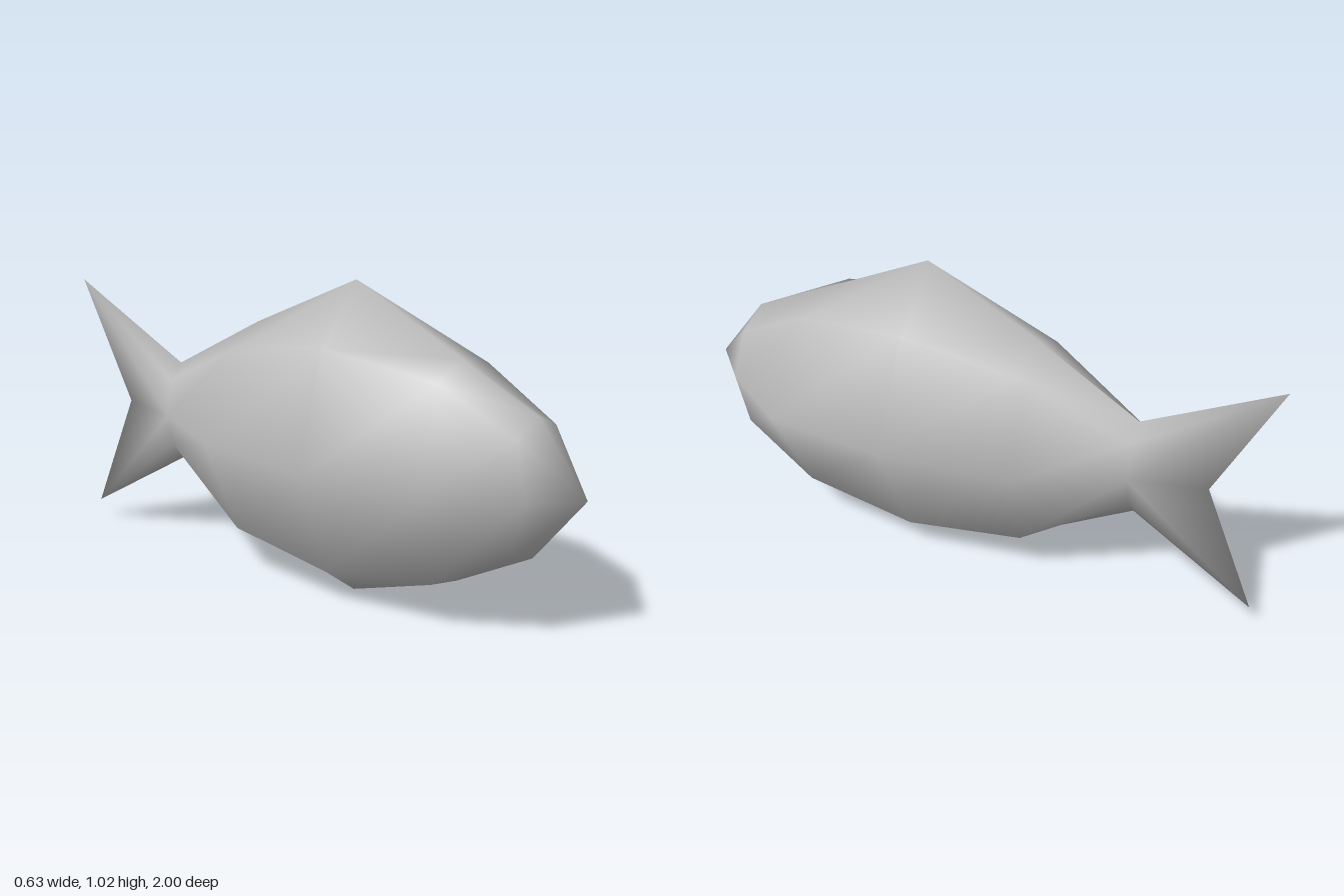
import * as THREE from 'three';

// Cross-sections from head to tail root:
// [z, top y, shoulder x, shoulder y, flank x, flank z, belly x, belly y, keel y]
const SECTIONS = [
  [0.83, 0.70, 0.11, 0.65, 0.13, 0.87, 0.12, 0.30, 0.26],
  [0.57, 0.83, 0.15, 0.79, 0.295, 0.61, 0.15, 0.16, 0.125],
  [0.18, 1.025, 0.185, 0.84, 0.315, 0.20, 0.155, 0.11, 0],
  [-0.21, 0.84, 0.13, 0.77, 0.245, -0.24, 0.12, 0.16, 0.11],
  [-0.55, 0.65, 0.055, 0.60, 0.075, -0.55, 0.05, 0.37, 0.31],
];
const MID_Y = 0.475;
const SIDES = 8;

// Eight points, clockwise seen from the front, starting at the back ridge
function ring([z, top, sx, sy, fx, fz, bx, by, keel]) {
  return [
    [0, top, z], [sx, sy, z], [fx, MID_Y, fz], [bx, by, z],
    [0, keel, z], [-bx, by, z], [-fx, MID_Y, fz], [-sx, sy, z],
  ];
}

function fishGeometry() {
  const points = SECTIONS.flatMap(ring);
  const index = [];
  const add = (p) => points.push(p) - 1;
  const nose = add([0, MID_Y, 1]);
  const upperTip = add([0, 0.885, -1]);
  const notch = add([0, MID_Y, -0.79]);
  const lowerTip = add([0, 0.07, -0.96]);
  const last = (SECTIONS.length - 1) * SIDES;

  for (let k = 0; k < SIDES; k++) {
    const n = (k + 1) % SIDES;
    // Nose cone
    index.push(nose, n, k);
    // Body skin
    for (let r = 0; r < last; r += SIDES) {
      index.push(r + k, r + n, r + SIDES + k);
      index.push(r + n, r + SIDES + n, r + SIDES + k);
    }
    // Tail lobes, drawn out from the last ring
    index.push(last + k, last + n, k < 2 || k > 5 ? upperTip : lowerTip);
  }

  // Flanks closing on the notch of the forked tail
  const left = last + 2, right = last + 6;
  index.push(left, notch, upperTip, left, lowerTip, notch);
  index.push(right, upperTip, notch, right, notch, lowerTip);

  const geometry = new THREE.BufferGeometry();
  geometry.setAttribute('position', new THREE.Float32BufferAttribute(points.flat(), 3));
  geometry.setIndex(index);
  geometry.computeVertexNormals();
  return geometry;
}

export function createModel() {
  const group = new THREE.Group();
  group.name = 'fish';
  const grey = new THREE.MeshStandardMaterial({ color: 0xbcbcbc });
  grey.name = 'grey';
  const body = new THREE.Mesh(fishGeometry(), grey);
  body.name = 'bodyAndTail';
  group.add(body);
  return group;
}
